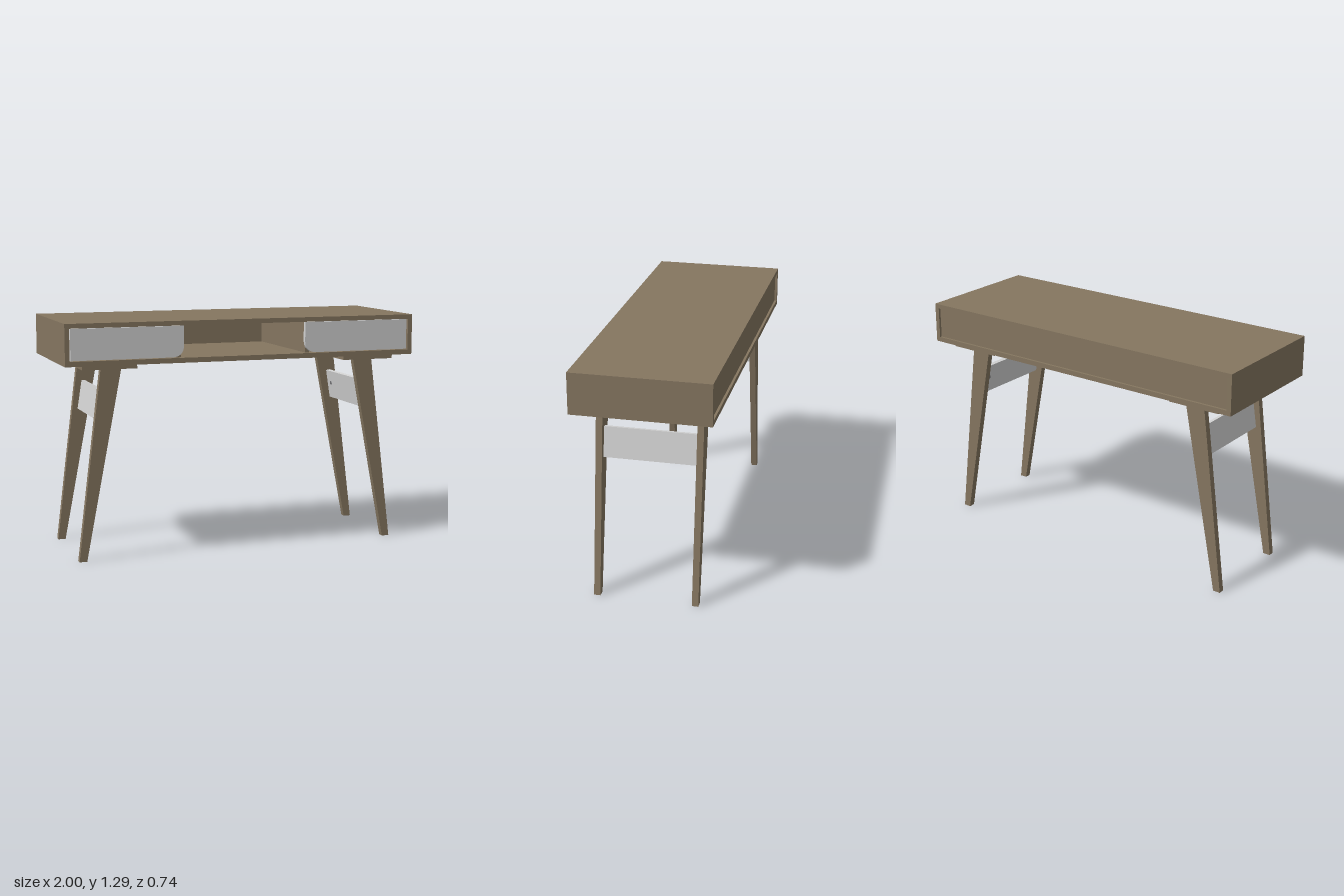
import * as THREE from 'three';

export function createModel() {
  const wood = new THREE.MeshStandardMaterial({ color: 0x857660 });
  wood.name = 'wood';
  const white = new THREE.MeshStandardMaterial({ color: 0xd2d2d2 });
  white.name = 'light grey paint';
  const metal = new THREE.MeshStandardMaterial({ color: 0x77777a });
  metal.name = 'screw metal';

  const model = new THREE.Group();
  model.name = 'desk';

  // Box given by its lower and upper limits on each axis
  function box(name, mat, [x0, x1], [y0, y1], [z0, z1], parent = model) {
    const mesh = new THREE.Mesh(new THREE.BoxGeometry(x1 - x0, y1 - y0, z1 - z0), mat);
    mesh.position.set((x0 + x1) / 2, (y0 + y1) / 2, (z0 + z1) / 2);
    mesh.name = name;
    parent.add(mesh);
    return mesh;
  }

  // Flat board cut from a front outline
  function board(name, mat, shape, z0, depth) {
    const geo = new THREE.ExtrudeGeometry(shape, { depth, bevelEnabled: false, curveSegments: 10 });
    const mesh = new THREE.Mesh(geo, mat);
    mesh.position.z = z0;
    mesh.name = name;
    model.add(mesh);
  }

  // Case: top, floor and inset back panel
  box('caseTop', wood, [-1, 1], [1.27, 1.295], [-0.37, 0.37]);
  box('caseFloor', wood, [-1, 1], [1.07, 1.097], [-0.37, 0.37]);
  box('backPanel', wood, [-0.975, 0.975], [1.097, 1.27], [-0.357, -0.335]);

  for (const s of [-1, 1]) {
    const side = s < 0 ? 'right' : 'left';
    const span = (a, b) => (s > 0 ? [a, b] : [-b, -a]);

    // Case side and the divider beside the open niche
    box(side + 'CaseSide', wood, span(0.975, 1), [1.097, 1.27], [-0.37, 0.37]);
    box(side + 'Divider', wood, span(0.36, 0.385), [1.097, 1.27], [-0.335, 0.337]);

    // Drawer front with a rounded lower inner corner
    const r = 0.06;
    const front = new THREE.Shape();
    front.moveTo(s * 0.969, 1.1);
    front.lineTo(s * (0.35 + r), 1.1);
    front.quadraticCurveTo(s * 0.354, 1.104, s * 0.35, 1.1 + r);
    front.lineTo(s * 0.35, 1.268);
    front.lineTo(s * 0.969, 1.268);
    front.closePath();
    board(side + 'DrawerFront', white, front, 0.34, 0.022);

    // Mounting plate under the case
    box(side + 'MountingPlate', wood, span(0.6, 0.9), [1.045, 1.07], [-0.325, 0.325]);

    // Tapered, splayed legs
    const leg = new THREE.Shape([[0.88, 0], [0.922, 0], [0.79, 1.045], [0.677, 1.045]]
      .map(([x, y]) => new THREE.Vector2(s * x, y)));
    board(side + 'FrontLeg', wood, leg, 0.25, 0.035);
    board(side + 'BackLeg', wood, leg, -0.285, 0.035);

    // Stretcher panel leaning with the legs, screwed on its inner face
    const stretcher = new THREE.Group();
    stretcher.name = side + 'Stretcher';
    stretcher.position.set(s * 0.772, 0.838, 0);
    stretcher.rotation.z = s * 0.157;
    model.add(stretcher);
    box('stretcherPanel', white, [-0.011, 0.011], [-0.083, 0.083], [-0.25, 0.25], stretcher);
    for (const z of [-0.2, 0.2]) {
      const screw = new THREE.Mesh(new THREE.CylinderGeometry(0.011, 0.011, 0.004, 16), metal);
      screw.rotation.z = Math.PI / 2;
      screw.position.set(-s * 0.012, 0.01, z);
      screw.name = 'stretcherScrew';
      stretcher.add(screw);
    }
  }
  return model;
}
